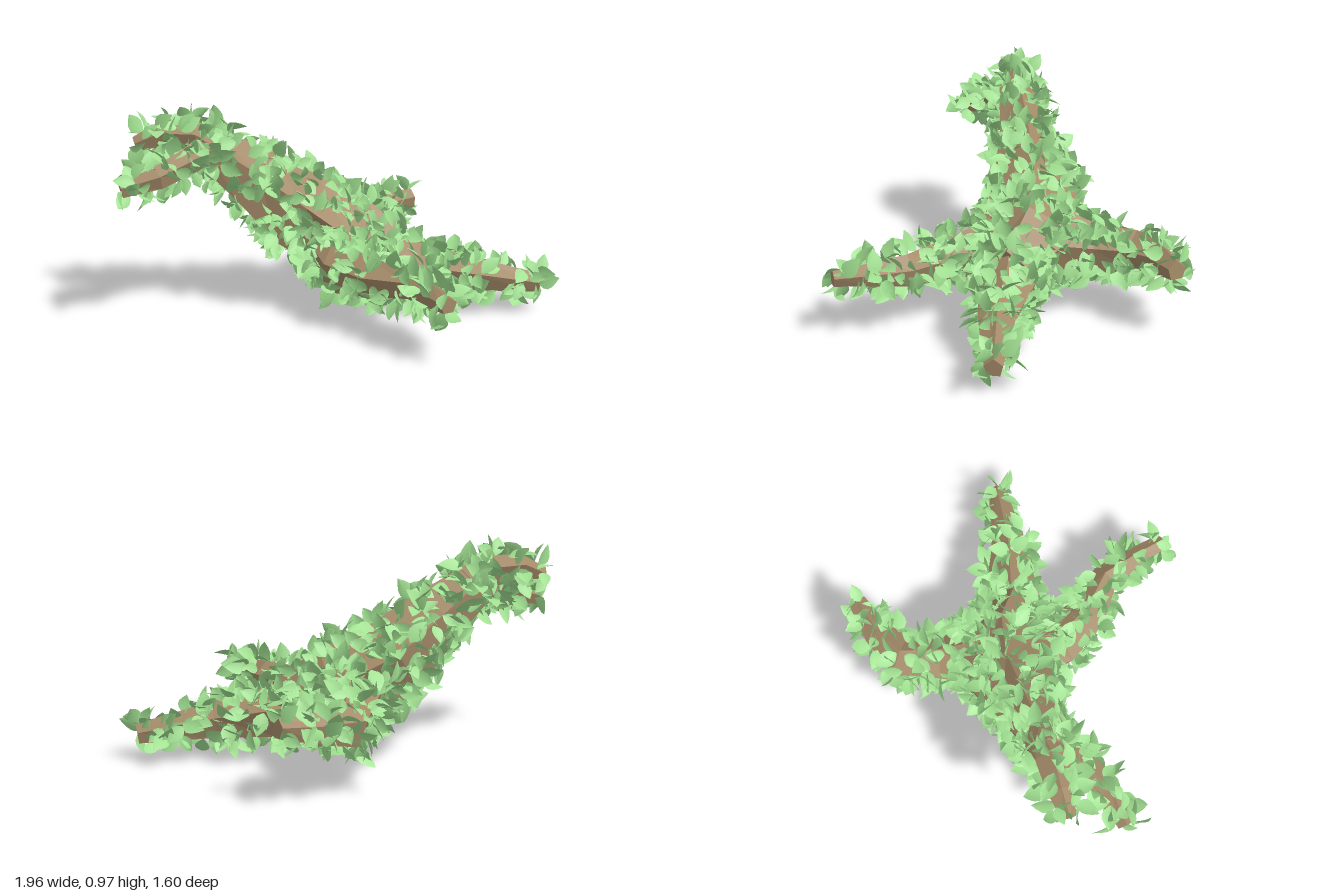
import * as THREE from 'three';
import { mergeGeometries } from 'three/addons/utils/BufferGeometryUtils.js';

const SIDES = 5;
const LEAF_DENSITY = 480;
const V = (x, y, z) => new THREE.Vector3(x, y, z);

// Each limb is a path of [x, y, z, radius]
const LIMBS = {
  trunk: [[0.3, 0.24, -0.02, 0.12], [0.1, 0.32, -0.15, 0.2], [-0.14, 0.46, -0.19, 0.18], [-0.35, 0.63, -0.19, 0.125], [-0.58, 0.8, -0.19, 0.08]],
  upperTwig: [[-0.5, 0.76, -0.2, 0.08], [-0.6, 0.82, -0.2, 0.07], [-0.74, 0.83, -0.22, 0.055], [-0.85, 0.79, -0.23, 0.03]],
  lowerTwig: [[-0.52, 0.77, -0.19, 0.075], [-0.64, 0.73, -0.1, 0.06], [-0.78, 0.685, -0.02, 0.05], [-0.94, 0.645, -0.01, 0.035]],
  frontBranch: [[0.05, 0.28, -0.05, 0.15], [0.04, 0.25, 0.1, 0.115], [0.12, 0.25, 0.28, 0.085], [0.25, 0.27, 0.43, 0.065], [0.28, 0.275, 0.58, 0.05], [0.31, 0.28, 0.75, 0.035]],
  backBranch: [[0.1, 0.3, -0.22, 0.17], [0.17, 0.29, -0.43, 0.105], [0.24, 0.29, -0.6, 0.095], [0.38, 0.31, -0.66, 0.065], [0.56, 0.33, -0.69, 0.04]],
  sideBranch: [[0.1, 0.26, -0.05, 0.15], [0.36, 0.21, 0.0, 0.115], [0.6, 0.18, 0.08, 0.08], [0.93, 0.13, 0.15, 0.04]],
};

// Small seeded random generator
let seed = 7;
function rand(a = 0, b = 1) {
  seed = (seed * 16807) % 2147483647;
  return a + (b - a) * seed / 2147483647;
}

// Cross-section rings facing along the path
function makeRings(path) {
  const pts = path.map((p) => V(p[0], p[1], p[2]));
  return path.map((p, i) => {
    const dir = pts[Math.min(i + 1, pts.length - 1)].clone().sub(pts[Math.max(i - 1, 0)]).normalize();
    const side = V(0, 1, 0).cross(dir).normalize();
    const up = dir.clone().cross(side);
    return Array.from({ length: SIDES }, (_, k) => {
      const a = (k + 0.25) / SIDES * Math.PI * 2;
      const r = p[3] * (1.08 + 0.07 * Math.sin(k * 2.3 + i * 1.7));
      return pts[i].clone().addScaledVector(side, Math.cos(a) * r).addScaledVector(up, Math.sin(a) * r);
    });
  });
}

// Faceted limb with closed ends
function limbGeometry(rings, path) {
  const pos = [];
  const tri = (...corners) => corners.forEach((v) => pos.push(v.x, v.y, v.z));
  const last = rings.length - 1;
  const start = V(...path[0]), end = V(...path[last]);
  for (let k = 0; k < SIDES; k++) {
    const n = (k + 1) % SIDES;
    for (let i = 0; i < last; i++) {
      tri(rings[i][k], rings[i][n], rings[i + 1][n]);
      tri(rings[i][k], rings[i + 1][n], rings[i + 1][k]);
    }
    tri(start, rings[0][n], rings[0][k]);
    tri(end, rings[last][k], rings[last][n]);
  }
  const g = new THREE.BufferGeometry();
  g.setAttribute('position', new THREE.Float32BufferAttribute(pos, 3));
  g.computeVertexNormals();
  return g;
}

// Pointed leaf, unit length along y, folded at the midrib and bent back
function leafGeometry() {
  const g = new THREE.PlaneGeometry(2, 1, 2, 5);
  const halfWidths = [0.03, 0.24, 0.33, 0.3, 0.18, 0];
  const p = g.attributes.position;
  for (let i = 0; i < p.count; i++) {
    const t = p.getY(i) + 0.5;
    const x = p.getX(i) * halfWidths[Math.round(t * 5)];
    p.setXYZ(i, x, t, Math.abs(x) * 0.3 - 0.18 * t * t);
  }
  g.computeVertexNormals();
  return g;
}

// True when a point lies well inside any limb
function insideWood(point) {
  const near = V();
  return Object.values(LIMBS).some((path) => path.slice(1).some((b, i) => {
    const a = path[i];
    const line = new THREE.Line3(V(...a), V(...b));
    const t = line.closestPointToPointParameter(point, true);
    line.at(t, near);
    return near.distanceTo(point) < 0.68 * (a[3] + (b[3] - a[3]) * t);
  }));
}

// Leaves scattered over a limb's surface by area
function scatterLeaves(rings, leaf) {
  const leaves = [];
  const last = rings.length - 1;
  for (let i = 0; i < last; i++) {
    for (let k = 0; k < SIDES; k++) {
      const n = (k + 1) % SIDES;
      const [a, b, c, d] = [rings[i][k], rings[i][n], rings[i + 1][n], rings[i + 1][k]];
      const e1 = b.clone().sub(a).add(c).sub(d).multiplyScalar(0.5);
      const e2 = d.clone().sub(a).add(c).sub(b).multiplyScalar(0.5);
      const cross = e1.cross(e2);
      const normal = cross.clone().normalize();
      const count = Math.floor(cross.length() * LEAF_DENSITY + rand());
      for (let j = 0; j < count; j++) {
        const u = rand();
        const base = a.clone().lerp(b, u).lerp(d.clone().lerp(c, u), rand());
        if (insideWood(base)) continue;
        const dir = V(rand(-1, 1), rand(-1, 1), rand(-1, 1)).addScaledVector(normal, rand(0.4, 1.1)).normalize();
        if (dir.dot(normal) < 0.1) dir.addScaledVector(normal, 0.6).normalize();
        const size = rand(0.075, 0.115);
        const tip = base.clone().addScaledVector(dir, size);
        if (tip.y < 0.01 || Math.abs(tip.x) > 0.99) continue;
        // Upper face turned roughly away from the wood
        const face = normal.clone().add(V(rand(-0.8, 0.8), rand(-0.8, 0.8), rand(-0.8, 0.8)));
        const side = dir.clone().cross(face).normalize();
        const m = new THREE.Matrix4().makeBasis(side, dir, side.clone().cross(dir));
        m.scale(V(size, size, size)).setPosition(base);
        leaves.push(leaf.clone().applyMatrix4(m));
      }
    }
  }
  return mergeGeometries(leaves);
}

export function createModel() {
  seed = 7;
  const model = new THREE.Group();
  model.name = 'leafyBranch';
  const bark = new THREE.MeshStandardMaterial({ color: 0xa38a68, flatShading: true });
  const green = new THREE.MeshStandardMaterial({ color: 0xa2e192, side: THREE.DoubleSide });
  const leaf = leafGeometry();
  for (const [name, path] of Object.entries(LIMBS)) {
    const rings = makeRings(path);
    const wood = new THREE.Mesh(limbGeometry(rings, path), bark);
    wood.name = name;
    const foliage = new THREE.Mesh(scatterLeaves(rings, leaf), green);
    foliage.name = name + 'Leaves';
    model.add(wood, foliage);
  }
  return model;
}
